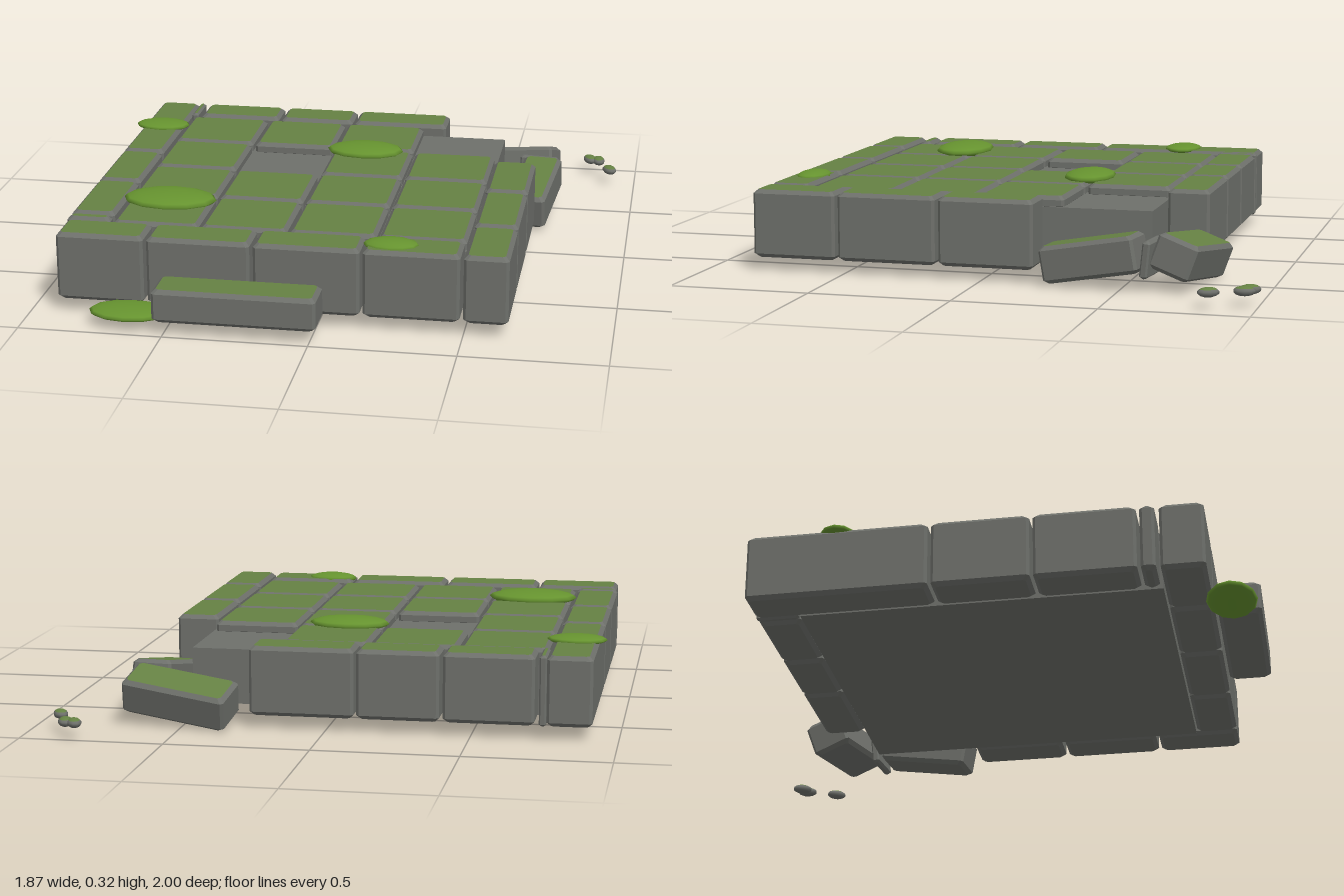
import * as THREE from 'three';

const stone = new THREE.MeshStandardMaterial({ color: 0x6e706b });
stone.name = 'grey stone';
const turf = new THREE.MeshStandardMaterial({ color: 0x658143 });
turf.name = 'mossy stone top';
const moss = new THREE.MeshStandardMaterial({ color: 0x66932f });
moss.name = 'bright moss';

// Chamfered block centred on its origin; group 1 is the flat top face
function blockGeometry(w, h, d) {
  const b = Math.min(0.014, w * 0.3, h * 0.3, d * 0.3);
  const ring = (y, inset) => {
    const x = w / 2 - inset, z = d / 2 - inset, c = b * 0.7;
    return [[x, -z + c], [x, z - c], [x - c, z], [-x + c, z], [-x, z - c], [-x, -z + c], [-x + c, -z], [x - c, -z]]
      .map(([px, pz]) => [px, y, pz]);
  };
  const rings = [ring(-h / 2, b), ring(-h / 2 + b, 0), ring(h / 2 - b, 0), ring(h / 2, b)];
  const pos = [];
  const tri = (...pts) => pts.forEach((p) => pos.push(...p));
  for (let k = 0; k < 3; k++) {
    for (let i = 0; i < 8; i++) {
      const j = (i + 1) % 8, lo = rings[k], hi = rings[k + 1];
      tri(lo[i], hi[i], hi[j]);
      tri(lo[i], hi[j], lo[j]);
    }
  }
  for (let i = 1; i < 7; i++) tri(rings[0][0], rings[0][i], rings[0][i + 1]);
  const sideCount = pos.length / 3;
  for (let i = 1; i < 7; i++) tri(rings[3][0], rings[3][i + 1], rings[3][i]);
  const g = new THREE.BufferGeometry();
  g.setAttribute('position', new THREE.Float32BufferAttribute(pos, 3));
  g.addGroup(0, sideCount, 0);
  g.addGroup(sideCount, 18, 1);
  g.computeVertexNormals();
  return g;
}

export function createModel() {
  const model = new THREE.Group();
  model.name = 'ruinedStoneFloor';

  const block = (name, w, h, d, x, y, z, rx = 0, ry = 0, rz = 0, top = turf) => {
    const m = new THREE.Mesh(blockGeometry(w, h, d), [stone, top]);
    m.name = name;
    m.position.set(x, y, z);
    m.rotation.set(rx, ry, rz, 'YXZ');
    model.add(m);
  };
  // Block given by its extents
  const span = (name, x0, x1, y0, y1, z0, z1) =>
    block(name, x1 - x0, y1 - y0, z1 - z0, (x0 + x1) / 2, (y0 + y1) / 2, (z0 + z1) / 2);

  // Foundation slab, visible where tiles are missing
  const core = new THREE.Mesh(new THREE.BoxGeometry(1.25, 0.195, 1.255), stone);
  core.name = 'foundation';
  core.position.set(-0.125, 0.1625, 0.0525);
  model.add(core);

  // Four by four paving, two tiles missing
  for (let r = 0; r < 4; r++) {
    for (let c = 0; c < 4; c++) {
      if ((r === 0 && c === 3) || (r === 1 && c === 1)) continue;
      block('pavingTile', 0.302, 0.05, 0.302, -0.596 + c * 0.312, 0.272, -0.42 + r * 0.313);
    }
  }

  // Border stones
  const Y0 = 0.06, Y1 = 0.303;
  [[-0.905, -0.6], [-0.588, -0.23], [-0.218, 0.147], [0.157, 0.487]]
    .forEach(([a, b]) => span('frontBorderStone', a, b, Y0, Y1, 0.685, 0.835));
  [[-0.757, -0.732], [-0.717, -0.405], [-0.393, -0.108], [-0.098, 0.265]]
    .forEach(([a, b]) => span('backBorderStone', a, b, Y0, Y1, -0.73, -0.58));
  [[-0.73, -0.1], [-0.088, 0.248], [0.26, 0.608], [0.62, 0.67]]
    .forEach(([a, b]) => span('rightBorderStone', -0.912, -0.757, Y0, Y1, a, b));
  [[-0.187, 0.152], [0.165, 0.52], [0.532, 0.835]]
    .forEach(([a, b]) => span('leftBorderStone', 0.499, 0.652, Y0, Y1, a, b));

  // Front step and stones fallen from the broken corner
  span('frontStep', -0.535, 0.025, 0.06, 0.178, 0.845, 0.995);
  block('fallenStone', 0.38, 0.13, 0.15, 0.51, 0.115, -0.715, -0.32, -0.2, 0.13);
  block('fallenStone', 0.145, 0.13, 0.345, 0.635, 0.115, -0.4, 0.18, -0.12, 0);
  block('fallenSliver', 0.15, 0.13, 0.028, 0.635, 0.125, -0.6, -0.1, -0.12, 0, stone);

  // Moss cushions: x, y, z, then radii
  [
    [-0.835, 0.305, -0.42, 0.105, 0.017, 0.07],
    [0, 0.303, -0.235, 0.145, 0.025, 0.092],
    [-0.6, 0.303, 0.425, 0.168, 0.028, 0.108],
    [0.245, 0.3, 0.755, 0.096, 0.022, 0.06],
    [-0.635, 0.06, 0.9, 0.14, 0.021, 0.088],
  ].forEach(([x, y, z, rx, ry, rz]) => {
    const m = new THREE.Mesh(new THREE.SphereGeometry(1, 12, 8), moss);
    m.name = 'mossCushion';
    m.position.set(x, y, z);
    m.scale.set(rx, ry, rz);
    model.add(m);
  });

  // Loose pebbles with mossy upper halves
  [[0.815, -0.968, 0.4], [0.85, -0.955, 0.2], [0.9, -0.845, 0.5]].forEach(([x, z, turn]) => {
    const pebble = new THREE.Group();
    pebble.name = 'pebble';
    const split = 0.3 * Math.PI;
    const cap = new THREE.Mesh(new THREE.SphereGeometry(1, 10, 4, 0, Math.PI * 2, 0, split), turf);
    cap.name = 'pebbleTop';
    const base = new THREE.Mesh(new THREE.SphereGeometry(1, 10, 5, 0, Math.PI * 2, split, Math.PI - split), stone);
    base.name = 'pebbleBase';
    pebble.add(cap, base);
    pebble.position.set(x, 0.068, z);
    pebble.rotation.y = turn;
    pebble.scale.set(0.025, 0.017, 0.038);
    model.add(pebble);
  });

  return model;
}
